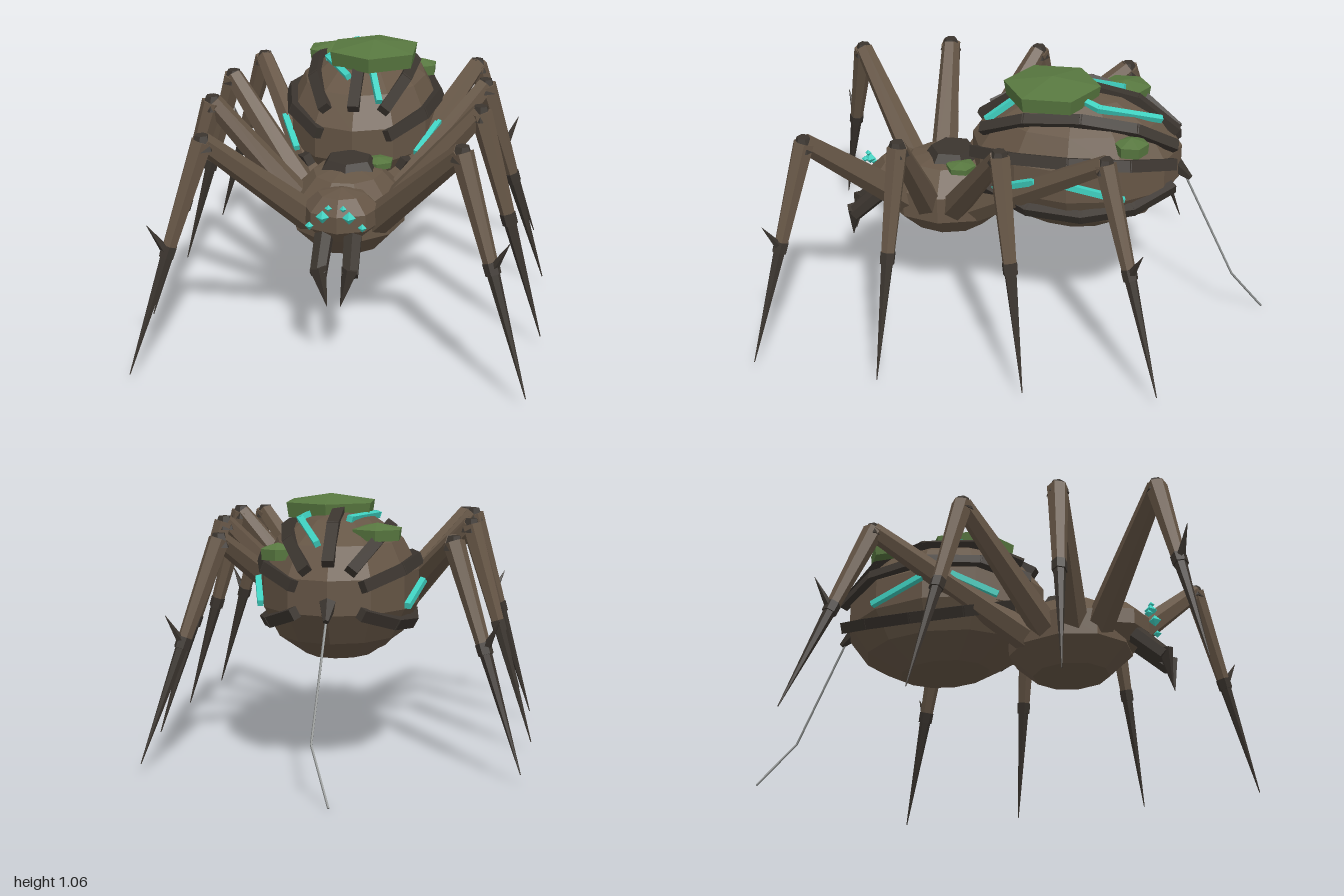
import * as THREE from 'three';

const paint = (name, color) => {
  const m = new THREE.MeshStandardMaterial({ color, flatShading: true });
  m.name = name;
  return m;
};
const V = (x, y, z) => new THREE.Vector3(x, y, z);

export function createModel() {
  const shell = paint('brown shell', 0x665646);
  const dark = paint('dark chitin', 0x3b352f);
  const moss = paint('moss green', 0x587840);
  const glow = paint('turquoise', 0x3fd0c0);
  const silk = paint('silk grey', 0x8c8f8e);
  const root = new THREE.Group();
  root.name = 'spider';

  const add = (name, geo, mat, parent = root) => {
    const m = new THREE.Mesh(geo, mat);
    m.name = name;
    parent.add(m);
    return m;
  };
  // Tapered rod from a to b
  const rod = (name, a, b, ra, rb, sides, mat, parent) => {
    const m = add(name, new THREE.CylinderGeometry(rb, ra, a.distanceTo(b), sides), mat, parent);
    m.position.copy(a).lerp(b, 0.5);
    m.quaternion.setFromUnitVectors(V(0, 1, 0), b.clone().sub(a).normalize());
    return m;
  };
  // Flat beam from a to b whose top faces along "up"
  const beam = (name, a, b, up, w, h, mat, parent) => {
    const m = add(name, new THREE.BoxGeometry(w, h, a.distanceTo(b) + 0.015), mat, parent);
    m.position.copy(a).lerp(b, 0.5);
    m.up.copy(up);
    m.lookAt(b);
    return m;
  };
  const ball = (name, c, r, w, h) => {
    const m = add(name, new THREE.SphereGeometry(1, w, h), shell);
    m.position.copy(c);
    m.scale.copy(r);
    return m;
  };

  // Body
  const C = V(0, 0.7, -0.2), R = V(0.325, 0.3, 0.44);
  ball('abdomen', C, R, 12, 7);
  ball('thorax', V(0, 0.5, 0.34), V(0.235, 0.18, 0.27), 10, 5);
  ball('head', V(0, 0.54, 0.53), V(0.155, 0.105, 0.145), 8, 5);
  const plate = add('carapacePlate', new THREE.CylinderGeometry(0.09, 0.125, 0.05, 6), dark);
  plate.position.set(0, 0.665, 0.315);

  // Point on the abdomen's surface, pushed out by k
  const onAbdomen = (p, k) => {
    const d = p.clone().sub(C).divide(R).normalize();
    return d.multiply(R).multiplyScalar(k).add(C);
  };
  const outward = p => p.clone().sub(C).divide(R).divide(R).normalize();

  // Armour ridges running front to back over the abdomen
  const ridges = [[90, 30], [52, 36], [128, 36], [20, 27], [160, 27], [-27, 40], [207, 40]];
  ridges.forEach(([deg, start]) => {
    const g = new THREE.Group();
    g.name = 'armourRidge';
    root.add(g);
    const a = THREE.MathUtils.degToRad(deg), n = 4;
    const at = i => {
      const t = THREE.MathUtils.degToRad(start + (154 - start) * i / n);
      return onAbdomen(V(Math.sin(t) * Math.cos(a), Math.sin(t) * Math.sin(a), Math.cos(t))
        .multiply(R).add(C), 1.02);
    };
    for (let i = 0; i < n; i++) {
      const p = at(i), q = at(i + 1);
      beam('ridgePlate', p, q, outward(p.clone().lerp(q, 0.5)), 0.046, 0.034, dark, g);
    }
  });

  // Glowing veins
  const veins = [
    [V(-0.06, 0.98, -0.38), V(-0.14, 0.97, -0.11), V(-0.04, 0.96, 0.08)],
    [V(0.05, 0.9, -0.54), V(0.15, 0.98, -0.31), V(0.1, 1, -0.2)],
    [V(0.06, 0.97, 0.04), V(0.1, 0.88, 0.16)],
    ...[1, -1].map(s => [V(s * 0.27, 0.64, 0.12), V(s * 0.32, 0.72, -0.07)]),
    ...[1, -1].map(s => [V(s * 0.33, 0.72, -0.2), V(s * 0.29, 0.65, -0.42)])
  ];
  veins.forEach(path => {
    const pts = path.map(p => onAbdomen(p, 1.03));
    for (let i = 0; i + 1 < pts.length; i++)
      beam('glowingVein', pts[i], pts[i + 1], outward(pts[i]), 0.024, 0.024, glow);
  });

  // Moss clumps: six-sided lumps with a low peak
  [[0.048, 1.0, -0.105, 0.195, 0.07], [-0.165, 0.925, -0.38, 0.105, 0.05],
    [0.215, 0.85, -0.44, 0.07, 0.05], [0.11, 0.655, 0.26, 0.062, 0.028]].forEach(([x, y, z, r, h]) => {
    const profile = [[0, -h / 2], [r * 0.95, -h / 2], [r, h * 0.35], [0, h * 0.8]].map(p => new THREE.Vector2(...p));
    add('mossClump', new THREE.LatheGeometry(profile, 6), moss).position.set(x, y, z);
  });

  // Spinneret and silk thread
  rod('spinneret', V(0, 0.7, -0.58), V(0, 0.62, -0.67), 0.045, 0.012, 6, dark);
  const thread = [V(0, 0.63, -0.65), V(0.03, 0.2, -0.865), V(-0.05, 0.003, -1)];
  for (let i = 0; i < 2; i++) rod('silkThread', thread[i], thread[i + 1], 0.005, 0.005, 5, silk);

  // hip, knee, ankle fraction down the shin, foot
  const legs = [
    [V(0.12, 0.49, 0.48), V(0.47, 0.9, 0.8), V(0.73, 0.04, 0.99), true],
    [V(0.15, 0.49, 0.39), V(0.515, 0.93, 0.42), V(0.775, 0.04, 0.48), false],
    [V(0.15, 0.48, 0.29), V(0.515, 0.92, 0.03), V(0.775, 0.04, -0.095), false],
    [V(0.13, 0.48, 0.2), V(0.46, 0.89, -0.365), V(0.73, 0.04, -0.61), true]
  ];
  for (const s of [1, -1]) {
    const flip = p => V(p.x * s, p.y, p.z);
    legs.forEach(([h, k, f, spur], i) => {
      const g = new THREE.Group();
      g.name = (s > 0 ? 'left' : 'right') + 'Leg' + (i + 1);
      root.add(g);
      const hip = flip(h), knee = flip(k), foot = flip(f);
      const ankle = knee.clone().lerp(foot, 0.47);
      rod('thigh', hip, knee, 0.062, 0.038, 6, shell, g);
      rod('kneeCap', V(knee.x, knee.y - 0.03, knee.z), V(knee.x, knee.y + 0.026, knee.z), 0.046, 0.026, 6, dark, g);
      rod('shin', knee, ankle, 0.043, 0.027, 6, shell, g);
      rod('ankle', knee.clone().lerp(foot, 0.44), knee.clone().lerp(foot, 0.49), 0.031, 0.03, 6, dark, g);
      rod('foot', ankle, foot, 0.025, 0.002, 6, dark, g);
      if (spur) {
        const out = V(foot.x - knee.x, 0, foot.z - knee.z).normalize();
        rod('spur', ankle, ankle.clone().addScaledVector(out, 0.075).add(V(0, 0.12, 0)), 0.02, 0.001, 5, dark, g);
      }
    });

    // Jaws and fangs
    rod('jaw', flip(V(0.055, 0.48, 0.62)), flip(V(0.06, 0.37, 0.735)), 0.038, 0.034, 6, dark);
    rod('fang', flip(V(0.062, 0.4, 0.735)), flip(V(0.025, 0.25, 0.755)), 0.034, 0.001, 5, dark);

    // Eyes
    [[0.1, 0.545, 0.017], [0.05, 0.582, 0.026], [0.028, 0.617, 0.014]].forEach(([x, y, r]) =>
      add('eye', new THREE.OctahedronGeometry(r), glow).position.set(x * s, y, 0.685));
  }
  return root;
}
